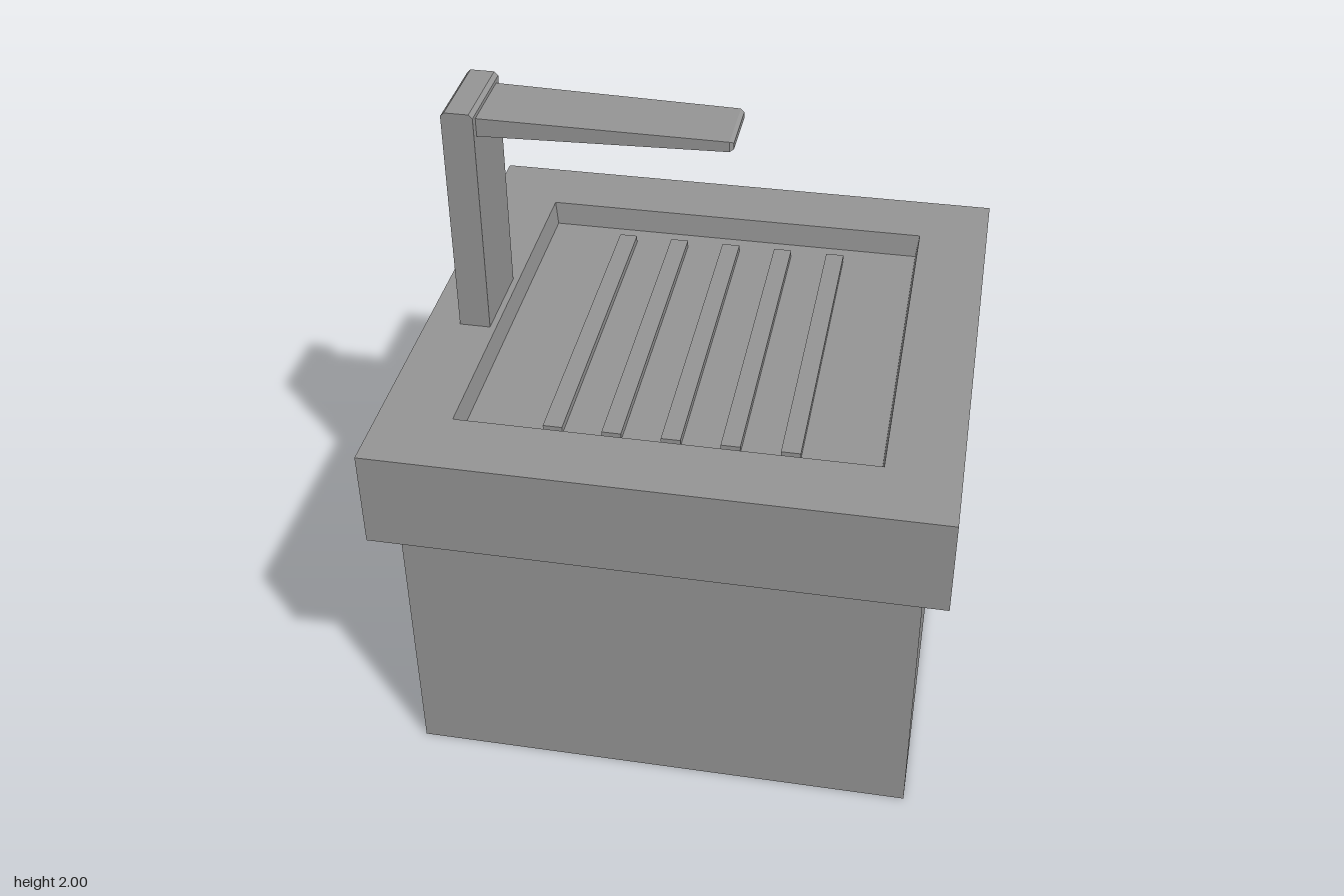
import * as THREE from 'three';

export function createModel() {
  const model = new THREE.Group();
  const grey = new THREE.MeshStandardMaterial({ color: 0x969696 });
  grey.name = 'grey';
  const blue = new THREE.MeshStandardMaterial({ color: 0x22587a });
  blue.name = 'blue';

  const add = (name, geometry, material = grey) => {
    const mesh = new THREE.Mesh(geometry, material);
    mesh.name = name;
    model.add(mesh);
    return mesh;
  };
  // Box given by its lowest and highest corners
  const box = (name, [x0, y0, z0], [x1, y1, z1]) =>
    add(name, new THREE.BoxGeometry(x1 - x0, y1 - y0, z1 - z0)
      .translate((x0 + x1) / 2, (y0 + y1) / 2, (z0 + z1) / 2));
  const vectors = (points) => points.map(([a, b]) => new THREE.Vector2(a, b));
  const rect = (a0, b0, a1, b1) => vectors([[a0, b0], [a1, b0], [a1, b1], [a0, b1]]);
  const extrude = (points, depth, hole) => {
    const shape = new THREE.Shape(points);
    if (hole) shape.holes.push(new THREE.Path(hole));
    return new THREE.ExtrudeGeometry(shape, { depth, bevelEnabled: false });
  };

  // Cabinet body, with a recess cut in its right wall
  const handleZ = 0.0125, inner = 0.178, low = 0.495, high = 0.69;
  box('cabinetBody', [-0.8, 0, -0.8], [0.74, 0.915, 0.8]);
  add('handleWall', extrude(
    rect(-0.8, 0, 0.8, 0.915), 0.06,
    rect(-handleZ - inner, low, -handleZ + inner, high),
  ).rotateY(Math.PI / 2).translate(0.74, 0, 0));
  add('recessSlope', extrude(
    vectors([[0.741, low], [0.8, low], [0.741, high]]), inner * 2,
  ).translate(0, 0, handleZ - inner));

  // U-shaped handle
  add('handle', extrude(vectors([
    [-0.2625, 0.43], [0.2625, 0.43], [0.2625, high], [inner, high],
    [inner, low], [-inner, low], [-inner, high], [-0.2625, high],
  ]), 0.04).rotateY(Math.PI / 2).translate(0.8, 0, handleZ), blue);

  // Countertop with a shallow basin whose walls slope inward
  const floorY = 1.155;
  box('countertopBase', [-0.88, 0.915, -0.875], [0.88, floorY, 0.875]);
  const rim = extrude(rect(-0.88, -0.875, 0.88, 0.875), 0.08,
    rect(-0.65, -0.645, 0.65, 0.645)).rotateX(-Math.PI / 2).translate(0, floorY, 0);
  const p = rim.attributes.position;
  for (let i = 0; i < p.count; i++) {
    if (Math.abs(p.getX(i)) < 0.7 && p.getY(i) < floorY + 0.01) {
      p.setX(i, p.getX(i) * 0.985);
      p.setZ(i, p.getZ(i) * 0.985);
    }
  }
  rim.computeVertexNormals();
  add('countertopRim', rim);

  // Raised drainer ribs
  for (let i = -2; i <= 2; i++) {
    const x = i * 0.183;
    box('drainerRib', [x - 0.03, floorY, -0.56], [x + 0.03, floorY + 0.025, 0.56]);
  }

  // Tap post with chamfered top edges
  const tapZ = 0.01;
  add('tapPost', extrude(vectors([
    [-0.77, 1.235], [-0.67, 1.235], [-0.67, 1.988], [-0.682, 2],
    [-0.758, 2], [-0.77, 1.988],
  ]), 0.29).translate(0, 0, tapZ - 0.145));

  // Tapering spout, ending in a small chamfer
  const sections = [
    [-0.67, 1.915, 1.975, 0.118], [0.1, 1.93, 1.963, 0.107], [0.112, 1.936, 1.957, 0.098],
  ];
  const spout = new THREE.BoxGeometry(1, 1, 1, 2, 1, 1);
  const s = spout.attributes.position;
  for (let i = 0; i < s.count; i++) {
    const [x, bottom, top, half] = sections[Math.round((s.getX(i) + 0.5) * 2)];
    s.setXYZ(i, x, s.getY(i) > 0 ? top : bottom, tapZ + Math.sign(s.getZ(i)) * half);
  }
  const flatSpout = spout.toNonIndexed();
  flatSpout.computeVertexNormals();
  add('tapSpout', flatSpout);

  return model;
}
